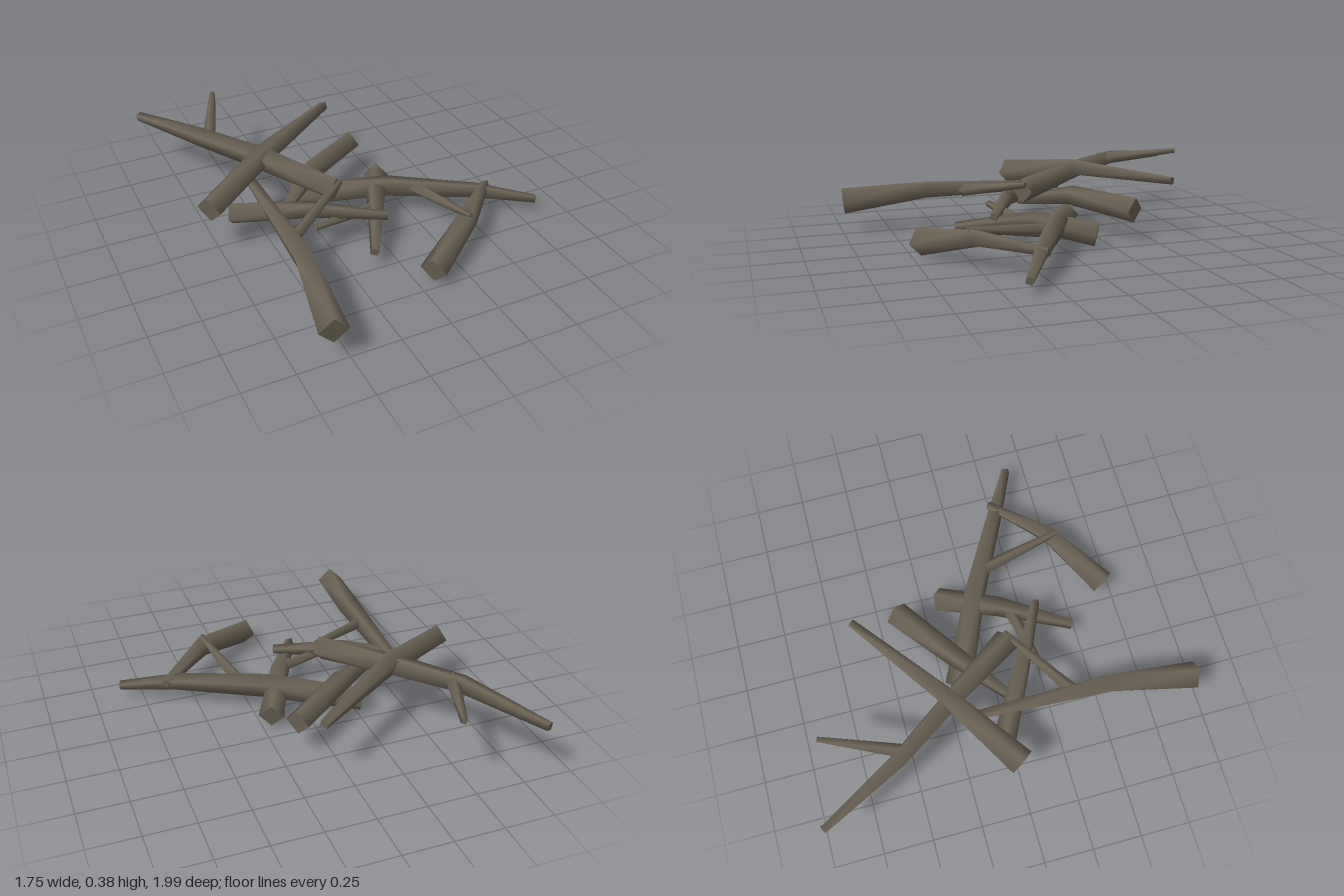
import * as THREE from 'three';

const bark = new THREE.MeshStandardMaterial({ color: 0x6b6355 });
bark.name = 'greyBrownBark';
const SIDES = 4;

// Tapered four-sided stick through rows of [x, y, z, radius], with a slight twist
function stickGeometry(rows, twist) {
  const pts = rows.map(r => new THREE.Vector3(r[0], r[1], r[2]));
  const last = rows.length - 1;
  const pos = [], idx = [];
  const up = new THREE.Vector3(0, 1, 0);
  rows.forEach((r, i) => {
    const dir = pts[Math.min(i + 1, last)].clone().sub(pts[Math.max(i - 1, 0)]).normalize();
    const side = new THREE.Vector3().crossVectors(up, dir).normalize();
    const top = new THREE.Vector3().crossVectors(dir, side);
    for (let k = 0; k < SIDES; k++) {
      const a = (k / SIDES) * Math.PI * 2 + Math.min(i, 1) * twist;
      const p = pts[i].clone()
        .addScaledVector(side, Math.cos(a) * r[3])
        .addScaledVector(top, Math.sin(a) * r[3]);
      pos.push(p.x, p.y, p.z);
    }
  });
  for (let i = 0; i < last; i++) {
    for (let k = 0; k < SIDES; k++) {
      const a = i * SIDES + k, b = i * SIDES + (k + 1) % SIDES;
      idx.push(a, b, a + SIDES, b, b + SIDES, a + SIDES);
    }
  }
  // Flat end caps on their own vertices
  for (const [ring, flip] of [[0, true], [last, false]]) {
    const base = pos.length / 3;
    pos.push(...pos.slice(ring * SIDES * 3, (ring + 1) * SIDES * 3));
    for (let k = 1; k < SIDES - 1; k++) {
      idx.push(base, base + (flip ? k + 1 : k), base + (flip ? k : k + 1));
    }
  }
  const g = new THREE.BufferGeometry();
  g.setAttribute('position', new THREE.Float32BufferAttribute(pos, 3));
  g.setIndex(idx);
  g.computeVertexNormals();
  return g;
}

// Each stick runs from its thick end to its tip; some carry a thin twig
const STICKS = [
  { name: 'backForkedStick',
    path: [[-0.16, 0.24, 0.11, 0.066], [-0.41, 0.29, -0.25, 0.06], [-0.63, 0.31, -0.56, 0.05], [-0.855, 0.28, -0.985, 0.025]],
    twig: [[-0.61, 0.31, -0.5, 0.036], [-0.445, 0.362, -0.915, 0.017]] },
  { name: 'topStick',
    path: [[-0.785, 0.235, 0.01, 0.07], [-0.38, 0.31, -0.27, 0.056], [0.11, 0.297, -0.63, 0.026]] },
  { name: 'frontStick',
    path: [[-0.57, 0.165, 0.99, 0.07], [-0.51, 0.21, 0.55, 0.059], [-0.49, 0.2, -0.2, 0.03]],
    twig: [[-0.49, 0.2, 0.355, 0.034], [-0.13, 0.275, 0.1, 0.018]] },
  { name: 'lowerLeftStick',
    path: [[-0.66, 0.145, -0.05, 0.06], [-0.3, 0.185, 0.15, 0.046], [0.03, 0.155, 0.32, 0.024]] },
  { name: 'backStick',
    path: [[0.155, 0.165, -0.4, 0.066], [-0.17, 0.2, -0.165, 0.054], [-0.42, 0.14, 0.05, 0.026]] },
  { name: 'middleStick',
    path: [[0.21, 0.07, -0.17, 0.065], [0.06, 0.13, 0.13, 0.052], [-0.12, 0.085, 0.48, 0.026]],
    twig: [[0.03, 0.125, 0.18, 0.034], [-0.33, 0.15, 0.25, 0.017]] },
  { name: 'longRightStick',
    path: [[-0.28, 0.07, -0.18, 0.069], [0.17, 0.125, 0.03, 0.06], [0.58, 0.11, 0.25, 0.044], [0.86, 0.062, 0.395, 0.024]],
    twig: [[0.29, 0.13, 0.11, 0.036], [0.37, 0.185, 0.54, 0.016]] },
  { name: 'frontRightStick',
    path: [[0.07, 0.07, 0.71, 0.069], [0.38, 0.145, 0.5, 0.052], [0.65, 0.12, 0.235, 0.025]] },
];

export function createModel() {
  const pile = new THREE.Group();
  pile.name = 'stickPile';
  for (const { name, path, twig } of STICKS) {
    const group = new THREE.Group();
    group.name = name;
    const branch = new THREE.Mesh(stickGeometry(path, Math.PI / 6), bark);
    branch.name = 'branch';
    group.add(branch);
    if (twig) {
      const t = new THREE.Mesh(stickGeometry(twig, Math.PI / 6), bark);
      t.name = 'twig';
      group.add(t);
    }
    pile.add(group);
  }
  return pile;
}
